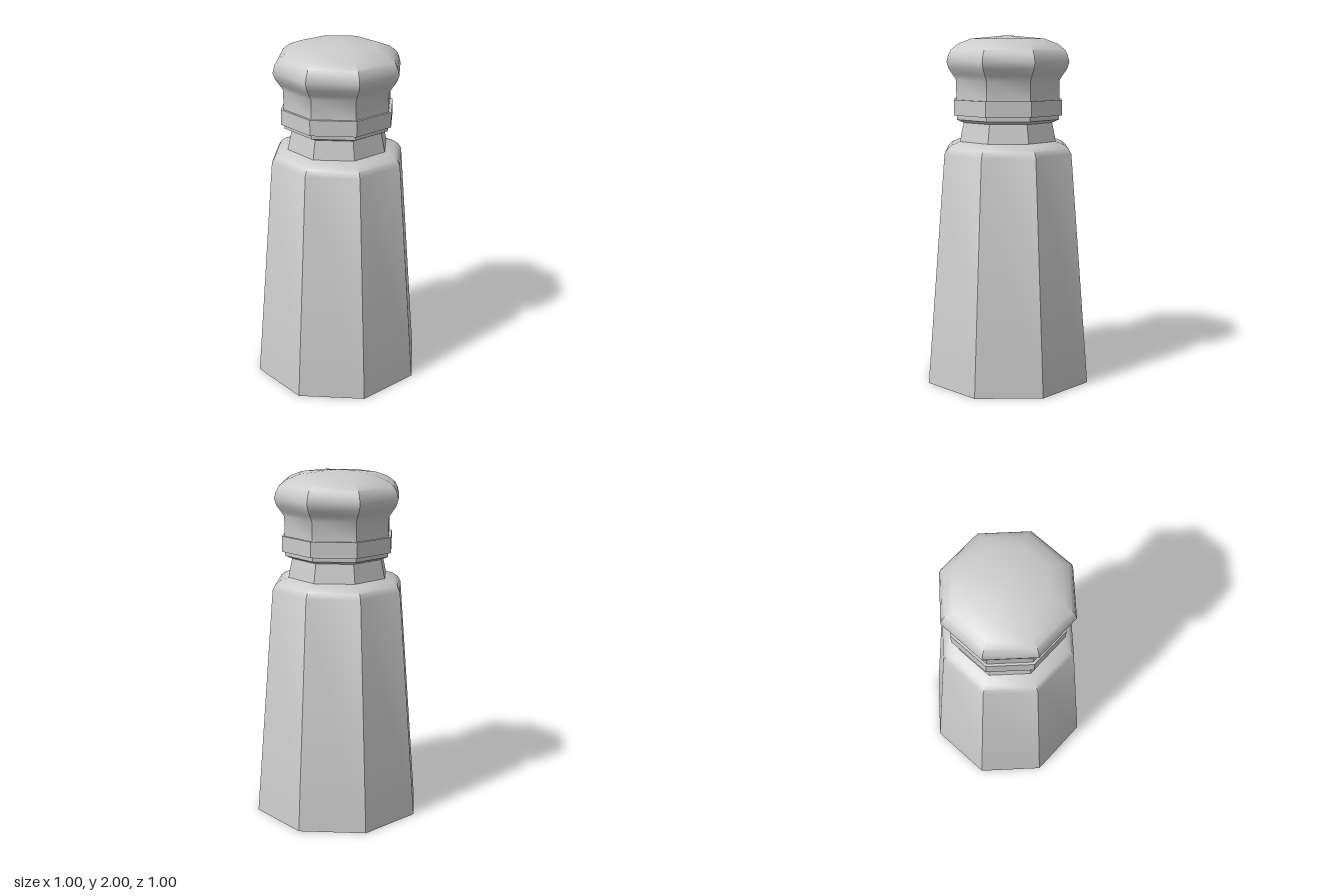
import * as THREE from 'three';
import { toCreasedNormals } from 'three/addons/utils/BufferGeometryUtils.js';

const SIDES = 8;
const CREASE = THREE.MathUtils.degToRad(32);

export function createModel() {
  const group = new THREE.Group();
  const material = new THREE.MeshStandardMaterial({ color: 0xcccccc });

  // Turns a [radius, height] profile into an eight-sided part
  function turned(name, profile) {
    const points = profile.map(([r, y]) => new THREE.Vector2(r, y));
    const geometry = toCreasedNormals(new THREE.LatheGeometry(points, SIDES), CREASE);
    const mesh = new THREE.Mesh(geometry, material);
    mesh.name = name;
    group.add(mesh);
  }

  // Tapered body with a closed base and rounded shoulder
  turned('body', [
    [0, 0], [0.5, 0], [0.389, 1.335], [0.372, 1.365], [0.345, 1.385], [0.295, 1.403],
  ]);

  // Waisted neck below the collar
  turned('neck', [[0.295, 1.403], [0.272, 1.51], [0.312, 1.528]]);

  // Collar: a thin lip under a wider band
  turned('collarLip', [[0.285, 1.528], [0.312, 1.528], [0.312, 1.552]]);
  turned('collarBand', [[0.3, 1.552], [0.33, 1.552], [0.33, 1.64], [0.3, 1.64]]);

  // Bulbous cap with a shallow pointed top
  turned('cap', [
    [0.315, 1.64], [0.315, 1.75], [0.335, 1.78], [0.36, 1.815], [0.372, 1.85],
    [0.362, 1.89], [0.345, 1.92], [0.302, 1.952], [0.225, 1.98], [0, 2],
  ]);

  return group;
}
